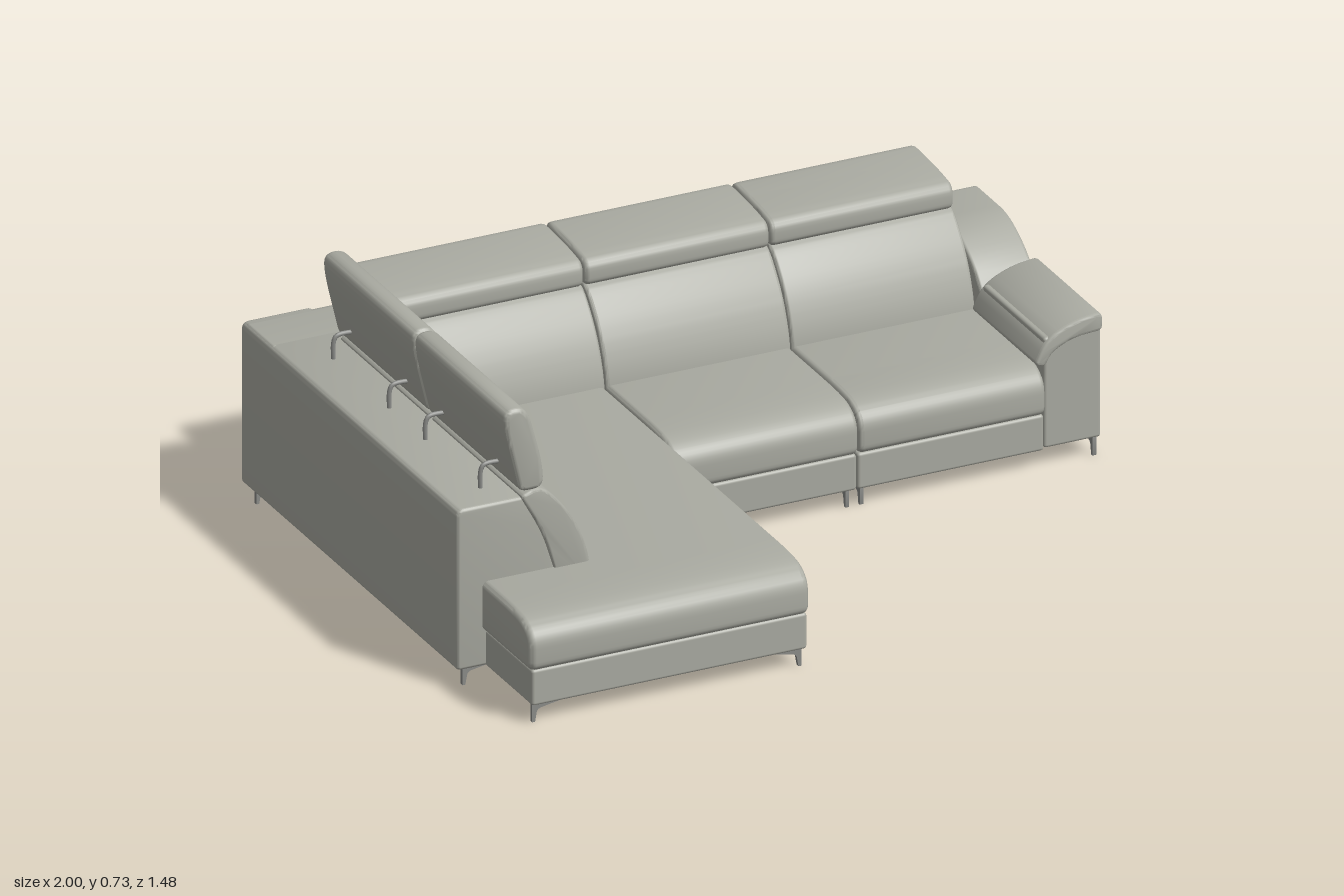
import * as THREE from 'three';
import { toCreasedNormals } from 'three/addons/utils/BufferGeometryUtils.js';
import { RoundedBoxGeometry } from 'three/addons/geometries/RoundedBoxGeometry.js';

const leather = new THREE.MeshStandardMaterial({ color: 0xa9aaa1 });
leather.name = 'grey leather';
const metal = new THREE.MeshStandardMaterial({ color: 0x8a8b88 });
metal.name = 'grey metal';

// closed outline from [a, y, cornerRadius] points
function outline(points, flip = 1) {
  const shape = new THREE.Shape();
  const n = points.length;
  points.forEach(([a, y, r = 0.012], i) => {
    const p = new THREE.Vector2(a * flip, y);
    const toward = (q) => {
      const d = new THREE.Vector2(q[0] * flip, q[1]).sub(p);
      return d.setLength(Math.min(r, d.length() * 0.48)).add(p);
    };
    const from = toward(points[(i + n - 1) % n]);
    const to = toward(points[(i + 1) % n]);
    if (i === 0) shape.moveTo(from.x, from.y);
    else shape.lineTo(from.x, from.y);
    shape.quadraticCurveTo(p.x, p.y, to.x, to.y);
  });
  shape.closePath();
  return shape;
}

function extrude(shape, length, bevel) {
  const geo = new THREE.ExtrudeGeometry(shape, {
    depth: length - 2 * bevel, curveSegments: 6, bevelEnabled: bevel > 0,
    bevelThickness: bevel, bevelSize: bevel, bevelOffset: -bevel, bevelSegments: 3,
  });
  return geo.translate(0, 0, bevel);
}

export function createModel() {
  const sofa = new THREE.Group();
  sofa.name = 'cornerSofa';

  const add = (name, geo, mat = leather) => {
    const mesh = new THREE.Mesh(geo, mat);
    mesh.name = name;
    sofa.add(mesh);
    return mesh;
  };
  // [z, y] profile swept from x0 to x1
  const alongX = (name, pts, x0, x1, bevel = 0.008) =>
    add(name, toCreasedNormals(
      extrude(outline(pts, -1), x1 - x0, bevel).rotateY(Math.PI / 2).translate(x0, 0, 0), 0.6));
  // [x, y] profile swept from z0 to z1
  const alongZ = (name, pts, z0, z1, bevel = 0.008) =>
    add(name, toCreasedNormals(
      extrude(outline(pts), z1 - z0, bevel).translate(0, 0, z0), 0.6));
  const box = (name, x0, x1, y0, y1, z0, z1, r = 0.008) =>
    add(name, new RoundedBoxGeometry(x1 - x0, y1 - y0, z1 - z0, 3, r)
      .translate((x0 + x1) / 2, (y0 + y1) / 2, (z0 + z1) / 2));

  // upholstered frame walls with sloped inner faces
  alongZ('sideWall', [
    [-1, 0.052], [-1, 0.486, 0.02], [-0.81, 0.486], [-0.77, 0.4, 0.05], [-0.72, 0.27], [-0.72, 0.052],
  ], -0.73, 0.47);
  alongX('backWall', [
    [-0.73, 0.052], [-0.73, 0.486, 0.025], [-0.56, 0.486], [-0.52, 0.4, 0.05], [-0.47, 0.27], [-0.39, 0.23], [-0.39, 0.052],
  ], -0.995, 0.84);

  // bases
  box('chaiseBase', -0.922, -0.174, 0.05, 0.147, -0.41, 0.727);
  const seats = [[-0.17, 0.331], [0.334, 0.84]];
  for (const [x0, x1] of seats) box('seatBase', x0, x1, 0.05, 0.147, -0.41, -0.028);

  // seat cushions, rounded over at the front
  const seatProfile = (front) => [
    [-0.45, 0.147], [-0.45, 0.28], [front - 0.12, 0.28, 0.06], [front - 0.045, 0.272, 0.04],
    [front, 0.238, 0.03], [front, 0.147, 0.025],
  ];
  alongX('chaiseCushion', seatProfile(0.74), -0.932, -0.173, 0.016);
  for (const [x0, x1] of seats) alongX('seatCushion', seatProfile(-0.018), x0, x1, 0.012);

  // leaning back cushions; the two runs meet in a mitre at the corner
  const backProfile = (shift) => [
    [-0.636, 0.22], [-0.645, 0.31, 0.05], [-0.685, 0.41, 0.06], [-0.75, 0.49, 0.04],
    [-0.785, 0.508, 0.02], [-0.83, 0.49], [-0.77, 0.38, 0.05], [-0.72, 0.22],
  ].map(([a, y, r]) => [a + shift, y, r]);
  const backSpans = [[-0.79, -0.174], [-0.17, 0.331], [0.334, 0.832]];
  for (const [x0, x1] of backSpans) alongX('backCushion', backProfile(0.25), x0, x1);
  const sideSpans = [[-0.535, -0.032], [-0.028, 0.477]];
  for (const [z0, z1] of sideSpans) alongZ('sideBackCushion', backProfile(0), z0, z1);

  // headrests folded flat along the back
  const flatHeadrest = [
    [-0.51, 0.498, 0.02], [-0.51, 0.565, 0.03], [-0.6, 0.578, 0.05], [-0.742, 0.585, 0.035], [-0.742, 0.507, 0.035],
    [-0.62, 0.494, 0.05],
  ];
  for (const [x0, x1] of backSpans) alongX('foldedHeadrest', flatHeadrest, Math.max(x0, -0.76), x1, 0.012);

  // raised headrests along the side, on bent metal rods
  const raisedHeadrest = [
    [-0.832, 0.502, 0.02], [-0.765, 0.502, 0.03], [-0.768, 0.57, 0.05], [-0.81, 0.73, 0.045],
    [-0.875, 0.73, 0.04], [-0.872, 0.67, 0.05],
  ];
  for (const [z0, z1] of sideSpans) alongZ('raisedHeadrest', raisedHeadrest, z0, z1, 0.012);
  for (const z of [-0.44, -0.13, 0.07, 0.375]) {
    const path = new THREE.CatmullRomCurve3([
      [-0.89, 0.47], [-0.89, 0.53], [-0.882, 0.546], [-0.83, 0.548],
    ].map(([x, y]) => new THREE.Vector3(x, y, z)));
    add('headrestRod', new THREE.TubeGeometry(path, 14, 0.006, 8), metal);
  }

  // armrest: rear shoulder, front block and padded cap
  alongX('armShoulder', [
    [-0.73, 0.052], [-0.73, 0.44, 0.02], [-0.545, 0.44, 0.05], [-0.44, 0.385, 0.06],
    [-0.377, 0.31, 0.02], [-0.377, 0.052],
  ], 0.845, 0.998);
  box('armBlock', 0.843, 0.998, 0.052, 0.35, -0.376, -0.034);
  alongZ('armCap', [
    [1, 0.342, 0.015], [1, 0.392, 0.02], [0.92, 0.383, 0.05], [0.845, 0.348, 0.04], [0.815, 0.285],
    [0.842, 0.275], [0.862, 0.31, 0.03], [0.92, 0.338, 0.04],
  ], -0.385, -0.027);

  // slim legs, each with a tapering mounting fin pointing along its angle
  const leg = outline([
    [0, 0, 0.001], [0.008, 0, 0.001], [0.014, 0.034, 0.01], [0.09, 0.048, 0.002],
    [0.09, 0.056, 0.001], [0, 0.056, 0.001],
  ]);
  const legGeometry = toCreasedNormals(extrude(leg, 0.01, 0).translate(0, 0, -0.005), 0.6);
  const q = Math.PI / 2;
  const legs = [
    [-0.915, 0.707, 0], [-0.183, 0.707, 2 * q], [-0.975, 0.443, 0], [-0.975, -0.7, 0],
    [0.985, -0.7, 2 * q], [0.985, -0.045, q],
    [-0.155, -0.045, q], [0.313, -0.045, q], [0.352, -0.045, q],
  ];
  for (const [x, z, angle] of legs) {
    const mesh = add('leg', legGeometry, metal);
    mesh.position.set(x, 0, z);
    mesh.rotation.y = angle;
  }
  return sofa;
}
